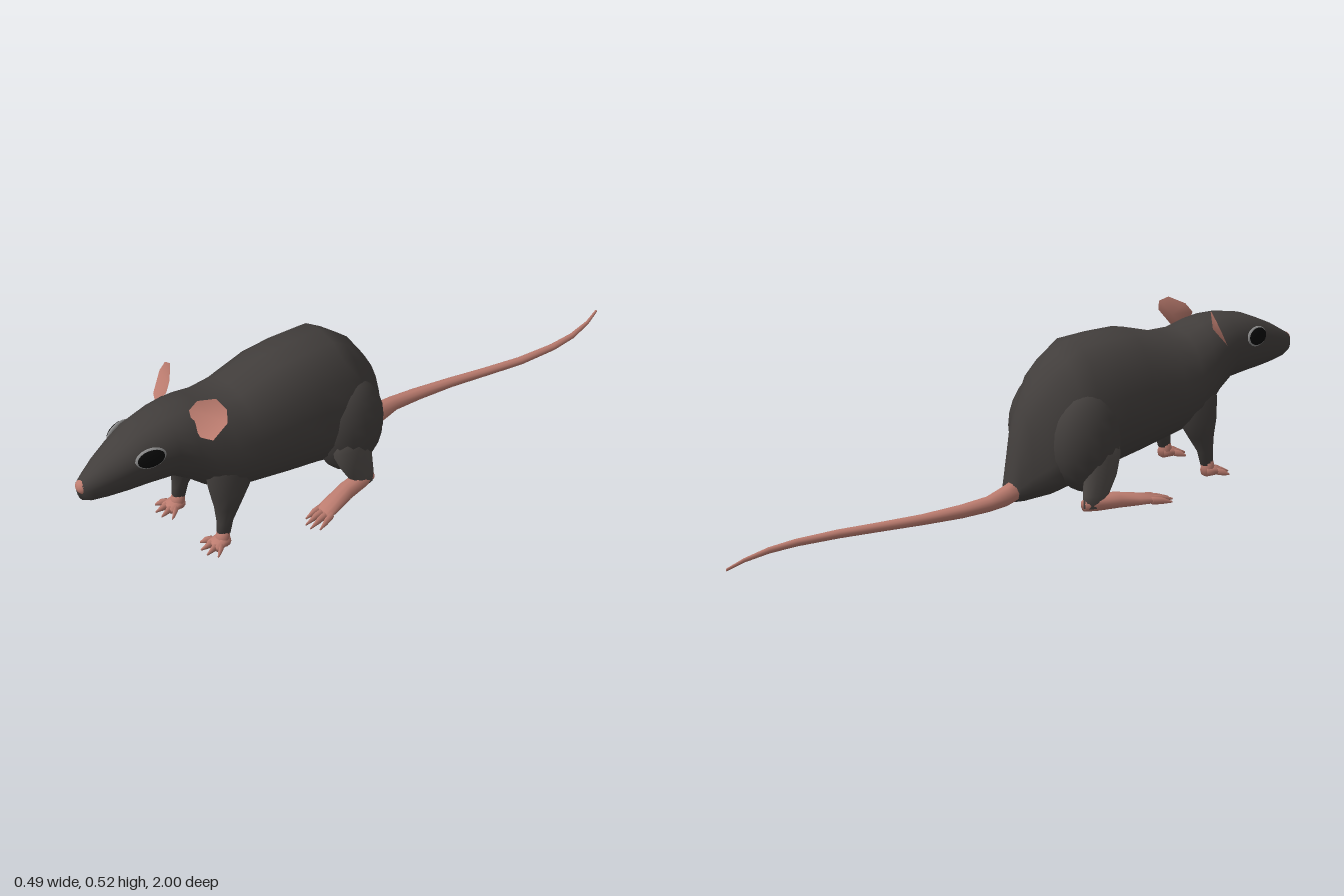
import * as THREE from 'three';

const paint = (color) => new THREE.MeshStandardMaterial({ color });
const fur = paint(0x423e3c), legFur = paint(0x514c49), pink = paint(0xbd7d70);
const black = paint(0x080808), rimGrey = paint(0x8c8c8c);
const earSkin = paint(0xbd7d70);
earSkin.side = THREE.DoubleSide;

// Sections are [x, y, z, halfWidth, b, c]. Along 'z', b and c are the heights above and
// below the centre; along 'y', b is the half depth. List them in increasing order.
function loft(name, sections, axis, material, n = 12, power = 1) {
  const pos = [], index = [];
  for (const [x, y, z, w, b, c = b] of sections) {
    for (let j = 0; j < n; j++) {
      const t = (j / n) * Math.PI * 2, s = Math.sin(t), k = Math.cos(t);
      if (axis === 'z') {
        const wide = Math.sign(k) * Math.abs(k) ** power * w;
        pos.push(x + wide, Math.max(0, y + s * (s > 0 ? b : c)), z);
      } else pos.push(x + s * w, y, z + k * b);
    }
  }
  const rows = sections.length;
  for (let i = 0; i < rows - 1; i++) {
    for (let j = 0; j < n; j++) {
      const a = i * n + j, d = i * n + ((j + 1) % n);
      index.push(a, d, d + n, a, d + n, a + n);
    }
  }
  // end caps
  const first = rows * n, last = first + 1, end = (rows - 1) * n;
  pos.push(...sections[0].slice(0, 3), ...sections[rows - 1].slice(0, 3));
  for (let j = 0; j < n; j++) {
    const k = (j + 1) % n;
    index.push(first, k, j, last, end + j, end + k);
  }
  const g = new THREE.BufferGeometry();
  g.setAttribute('position', new THREE.Float32BufferAttribute(pos, 3));
  g.setIndex(index);
  g.computeVertexNormals();
  const mesh = new THREE.Mesh(g, material);
  mesh.name = name;
  return mesh;
}

function ellipsoid(name, center, radii, material) {
  const mesh = new THREE.Mesh(new THREE.SphereGeometry(1, 16, 12), material);
  mesh.name = name;
  mesh.position.set(...center);
  mesh.scale.set(...radii);
  return mesh;
}

// Torso and head: [z, top, bottom, widest height, half width]
function makeBody() {
  const profile = [
    [-0.068, 0.09, 0.02, 0.05, 0.03], [-0.05, 0.19, 0.015, 0.07, 0.045],
    [-0.025, 0.29, 0.015, 0.1, 0.07], [0.01, 0.35, 0.02, 0.13, 0.1],
    [0.05, 0.41, 0.025, 0.17, 0.135], [0.1, 0.45, 0.04, 0.2, 0.155],
    [0.15, 0.483, 0.055, 0.22, 0.165], [0.25, 0.488, 0.08, 0.25, 0.163],
    [0.35, 0.488, 0.1, 0.26, 0.158], [0.48, 0.452, 0.13, 0.27, 0.15],
    [0.55, 0.452, 0.145, 0.28, 0.143], [0.61, 0.47, 0.18, 0.31, 0.128],
    [0.66, 0.478, 0.225, 0.35, 0.112], [0.72, 0.477, 0.268, 0.38, 0.098],
    [0.8, 0.463, 0.277, 0.385, 0.083], [0.86, 0.438, 0.282, 0.375, 0.069],
    [0.92, 0.41, 0.289, 0.36, 0.051], [0.965, 0.383, 0.297, 0.347, 0.034],
    [0.99, 0.368, 0.31, 0.343, 0.021],
  ];
  const sections = profile.map(([z, top, low, y, w]) => [0, y, z, w, top - y, y - low]);
  return loft('body', sections, 'z', fur, 20, 0.85);
}

// Tail: flat on the ground, swaying and tapering to a point
function makeTail() {
  const path = [
    [0, 0.01, -1, 0.004], [0.03, 0.013, -0.93, 0.006], [0.052, 0.016, -0.84, 0.009],
    [0.057, 0.018, -0.75, 0.011], [0.045, 0.02, -0.62, 0.013], [0.02, 0.023, -0.5, 0.014],
    [-0.008, 0.027, -0.37, 0.016], [-0.026, 0.032, -0.25, 0.02], [-0.032, 0.038, -0.16, 0.023],
    [-0.02, 0.046, -0.09, 0.03], [0, 0.055, -0.03, 0.033],
  ];
  return loft('tail', path.map(([x, y, z, r]) => [x, y, z, r, r]), 'z', pink, 10);
}

// Toes fan out from a foot: x and z of the roots and tips
function addToes(group, side, x0, z0, spread0, x1, z1, spread1, width) {
  for (let i = 0; i < 4; i++) {
    const f = i / 1.5 - 1;
    const root = x0 + f * spread0, tip = x1 + f * spread1, zTip = z1 - f * f * 0.02;
    group.add(loft('toe', [
      [side * root, 0.013, z0, width, 0.012],
      [side * (root + tip) / 2, 0.011, (z0 + zTip) / 2, width, 0.011],
      [side * tip, 0.004, zTip, 0.002, 0.003],
    ], 'z', pink, 6));
  }
}

function makeHindLeg(side) {
  const leg = new THREE.Group();
  leg.name = side > 0 ? 'leftHindLeg' : 'rightHindLeg';
  leg.add(ellipsoid('thigh', [side * 0.112, 0.2, 0.135], [0.08, 0.155, 0.115], fur));
  leg.add(loft('shin', [
    [side * 0.164, 0.012, 0.12, 0.022, 0.03], [side * 0.164, 0.05, 0.135, 0.026, 0.045],
    [side * 0.16, 0.1, 0.15, 0.031, 0.058], [side * 0.145, 0.16, 0.16, 0.044, 0.07],
    [side * 0.125, 0.23, 0.155, 0.05, 0.075],
  ], 'y', legFur));
  leg.add(loft('foot', [
    [side * 0.162, 0.02, 0.092, 0.016, 0.018], [side * 0.165, 0.022, 0.13, 0.026, 0.024],
    [side * 0.175, 0.02, 0.2, 0.028, 0.026], [side * 0.19, 0.015, 0.26, 0.031, 0.02],
    [side * 0.202, 0.012, 0.31, 0.033, 0.013],
  ], 'z', pink));
  addToes(leg, side, 0.202, 0.295, 0.024, 0.213, 0.375, 0.032, 0.009);
  return leg;
}

function makeFrontLeg(side) {
  const leg = new THREE.Group();
  leg.name = side > 0 ? 'leftFrontLeg' : 'rightFrontLeg';
  leg.add(loft('forearm', [
    [side * 0.107, 0.035, 0.596, 0.018, 0.021], [side * 0.106, 0.08, 0.588, 0.021, 0.026],
    [side * 0.103, 0.13, 0.573, 0.031, 0.044], [side * 0.099, 0.18, 0.562, 0.043, 0.064],
    [side * 0.09, 0.25, 0.56, 0.045, 0.075], [side * 0.08, 0.31, 0.56, 0.035, 0.06],
  ], 'y', fur));
  leg.add(loft('wrist', [
    [side * 0.108, 0.004, 0.6, 0.022, 0.022], [side * 0.107, 0.025, 0.6, 0.021, 0.022],
    [side * 0.107, 0.05, 0.595, 0.018, 0.02],
  ], 'y', pink));
  leg.add(loft('paw', [
    [side * 0.108, 0.015, 0.585, 0.02, 0.018], [side * 0.108, 0.015, 0.61, 0.026, 0.018],
    [side * 0.108, 0.01, 0.638, 0.027, 0.011],
  ], 'z', pink));
  addToes(leg, side, 0.108, 0.62, 0.022, 0.108, 0.67, 0.042, 0.008);
  return leg;
}

// Ear: a cupped disc that slants back and outward
function makeEar(side) {
  const rim = [
    [0.075, 0.44], [0.052, 0.475], [0.062, 0.503], [0.105, 0.52],
    [0.141, 0.5], [0.156, 0.467], [0.138, 0.415], [0.105, 0.415],
  ];
  const slant = (x, y) => 0.668 - (x - 0.05) * 0.55 - (y - 0.45) * 0.55;
  const pos = [0.1, 0.462, slant(0.1, 0.462) - 0.022], index = [];
  rim.forEach(([x, y], i) => {
    pos.push(x, y, slant(x, y));
    index.push(0, ((i + 1) % rim.length) + 1, i + 1);
  });
  for (let i = 0; i < pos.length; i += 3) pos[i] *= side;
  if (side < 0) index.reverse();
  const g = new THREE.BufferGeometry();
  g.setAttribute('position', new THREE.Float32BufferAttribute(pos, 3));
  g.setIndex(index);
  g.computeVertexNormals();
  const ear = new THREE.Mesh(g, earSkin);
  ear.name = side > 0 ? 'leftEar' : 'rightEar';
  return ear;
}

// Eye: a dark lens in a thin pale rim
function makeEye(side) {
  const eye = new THREE.Group();
  eye.name = side > 0 ? 'leftEye' : 'rightEye';
  eye.add(ellipsoid('eyeRim', [0, 0, 0], [0.01, 0.031, 0.046], rimGrey));
  eye.add(ellipsoid('eyeball', [side * 0.003, 0, 0], [0.012, 0.027, 0.041], black));
  eye.position.set(side * 0.077, 0.403, 0.805);
  eye.rotation.set(0, -side * 0.23, side * 0.12);
  return eye;
}

export function createModel() {
  const model = new THREE.Group();
  model.name = 'rodent';
  model.add(makeBody(), makeTail());
  model.add(ellipsoid('nose', [0, 0.35, 0.98], [0.022, 0.022, 0.02], pink));
  for (const side of [1, -1]) {
    model.add(makeHindLeg(side), makeFrontLeg(side), makeEar(side), makeEye(side));
  }
  return model;
}
